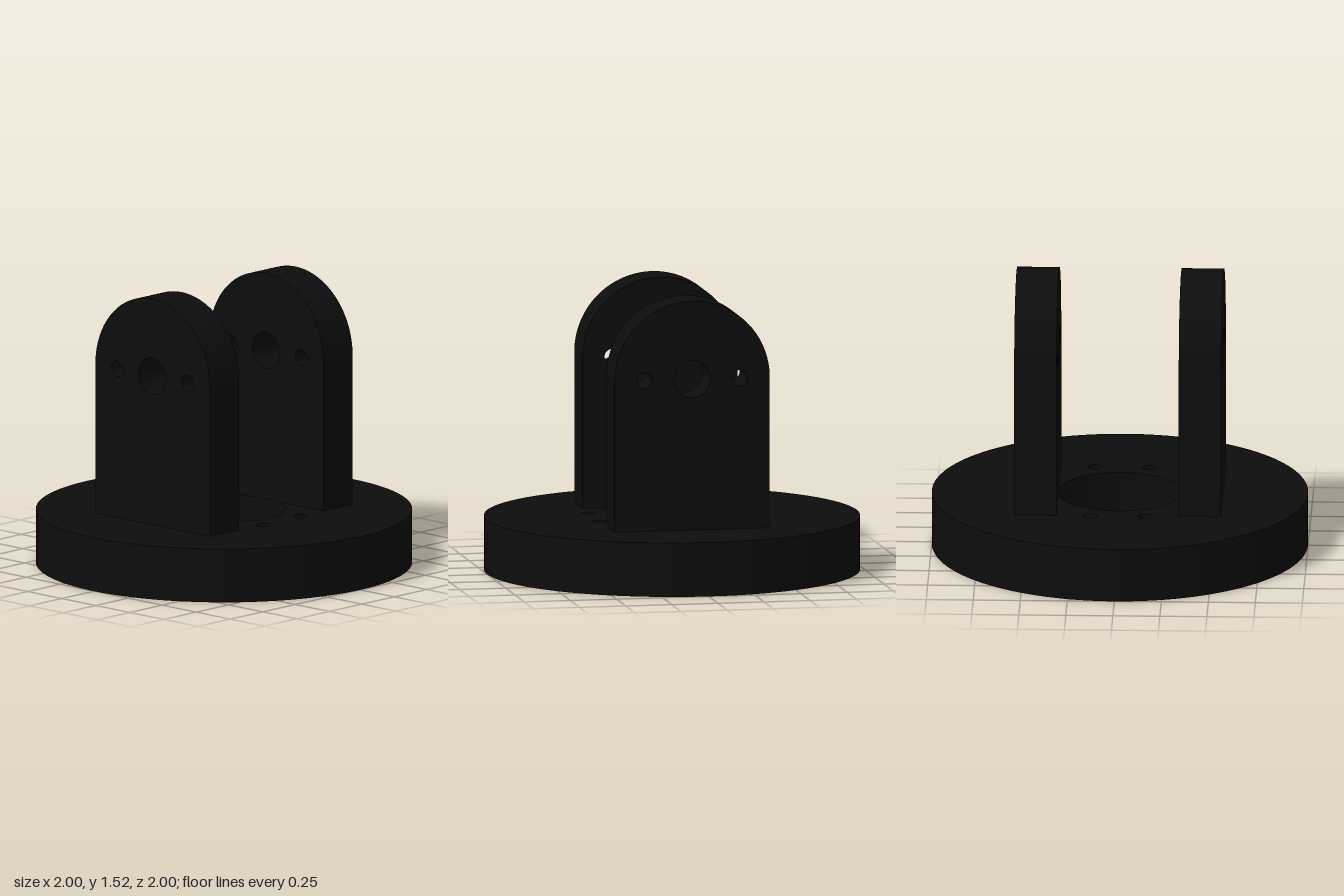
import * as THREE from 'three';
import { toCreasedNormals } from 'three/addons/utils/BufferGeometryUtils.js';

const BASE_H = 0.29;      // flange thickness
const BLIND_DEPTH = 0.15; // depth of the screw holes in the flange
const EAR_IN = 0.325, EAR_T = 0.225, EAR_R = 0.42, PIVOT_Y = 1.1;

function circleHole(x, y, r) {
  const path = new THREE.Path();
  path.absarc(x, y, r, 0, Math.PI * 2, true);
  return path;
}

function extrude(shape, depth) {
  const geo = new THREE.ExtrudeGeometry(shape, { depth, bevelEnabled: false, curveSegments: 64 });
  return toCreasedNormals(geo, 0.5);
}

// Horizontal ring with optional extra holes, its underside at y = 0
function flange(depth, holes) {
  const shape = new THREE.Shape();
  shape.absarc(0, 0, 1, 0, Math.PI * 2, false);
  shape.holes.push(circleHole(0, 0, 0.333), ...holes);
  return extrude(shape, depth).rotateX(-Math.PI / 2);
}

export function createModel() {
  const group = new THREE.Group();
  const black = new THREE.MeshStandardMaterial({ color: 0x0d0d0d });
  black.name = 'black';

  const add = (name, geo, y, z) => {
    const mesh = new THREE.Mesh(geo, black);
    mesh.name = name;
    mesh.position.set(0, y, z);
    group.add(mesh);
  };

  // Round flange: solid lower layer closes the blind screw holes of the upper one
  const screwHoles = [];
  for (const x of [-0.425, 0.425])
    for (const z of [-0.145, 0.145]) screwHoles.push(circleHole(x, z, 0.04));
  add('flangeLower', flange(BASE_H - BLIND_DEPTH, []), 0, 0);
  add('flangeUpper', flange(BLIND_DEPTH, screwHoles), BASE_H - BLIND_DEPTH, 0);

  // Round-topped clevis ears with a pivot hole and two pin holes
  const ear = new THREE.Shape();
  ear.moveTo(-EAR_R, BASE_H);
  ear.lineTo(EAR_R, BASE_H);
  ear.lineTo(EAR_R, PIVOT_Y);
  ear.absarc(0, PIVOT_Y, EAR_R, 0, Math.PI, false);
  ear.closePath();
  ear.holes.push(circleHole(0, PIVOT_Y, 0.1));
  for (const x of [-0.258, 0.258]) ear.holes.push(circleHole(x, PIVOT_Y, 0.043));
  const earGeo = extrude(ear, EAR_T);
  add('frontEar', earGeo, 0, EAR_IN);
  add('backEar', earGeo, 0, -EAR_IN - EAR_T);

  return group;
}
